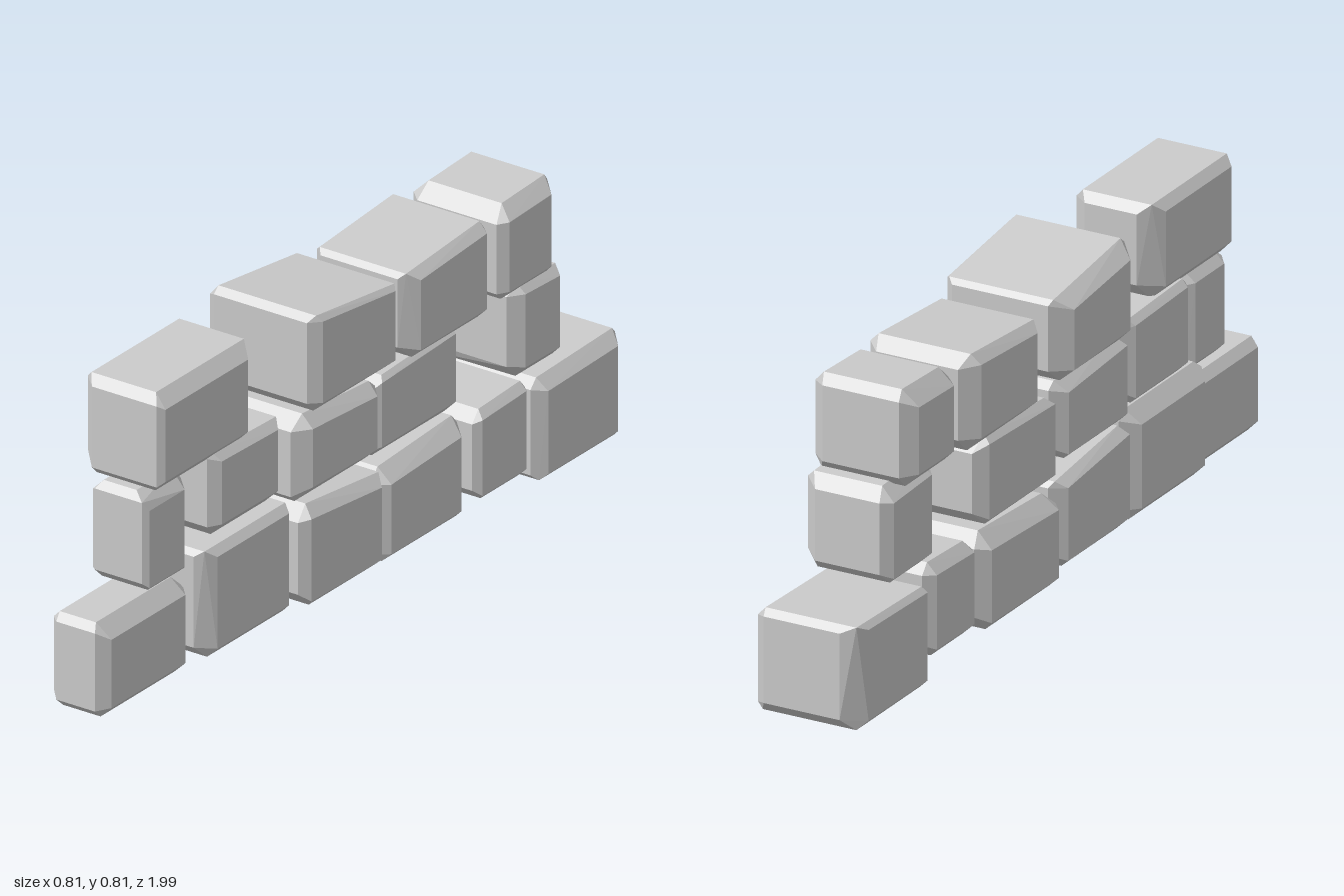
import * as THREE from 'three';
import { ConvexGeometry } from 'three/addons/geometries/ConvexGeometry.js';

// Each stone, in wall space: [start, end, right, left, bottom, top, tilt of the top along the wall]
const COURSES = {
  bottomStone: [
    [-1.03, -0.686, -0.104, 0.051, 0.02, 0.265, 0],
    [-0.68, -0.325, -0.16, 0.101, 0.05, 0.335, 0],
    [-0.32, 0.02, -0.16, 0.13, 0.05, 0.32, -0.04],
    [0.03, 0.389, -0.166, 0.104, 0.028, 0.285, 0.02],
    [0.405, 0.618, -0.15, 0.114, 0.045, 0.29, 0.01],
    [0.66, 0.999, -0.168, 0.114, 0, 0.272, 0.01],
  ],
  middleStone: [
    [-0.863, -0.675, -0.103, 0.053, 0.29, 0.548, 0],
    [-0.624, -0.331, -0.14, 0.085, 0.34, 0.57, -0.01],
    [-0.318, 0, -0.15, 0.122, 0.325, 0.552, -0.025],
    [0.027, 0.373, -0.15, 0.09, 0.297, 0.527, 0.015],
    [0.573, 0.778, -0.125, 0.109, 0.293, 0.545, -0.01],
  ],
  topStone: [
    [-0.851, -0.459, -0.143, 0.09, 0.555, 0.812, 0],
    [-0.283, 0.057, -0.192, 0.134, 0.55, 0.812, -0.045],
    [0.13, 0.465, -0.175, 0.115, 0.52, 0.775, 0.025],
    [0.512, 0.738, -0.165, 0.113, 0.53, 0.782, 0.01],
  ],
};
const GROW = 0.006;

function seeded(seed) {
  let s = seed * 7919 + 17;
  return () => (s = (s * 16807) % 2147483647) / 2147483647;
}

// Box with a different flat bevel on each edge; axes are 0 = across, 1 = up, 2 = along
function stoneGeometry([start, end, right, left, bottom, top, tilt], seed) {
  const rand = seeded(seed);
  for (let i = 0; i < 5; i++) rand();
  const lo = [right - GROW, bottom, -end - GROW];
  const hi = [left + GROW, top, -start + GROW];

  // Bevel width of every edge; the far upright edges are cut deepest
  const bevel = {};
  for (const [a, b] of [[0, 1], [0, 2], [1, 2]])
    for (const s of [0, 1]) for (const t of [0, 1]) {
      let width = 0.012 + 0.03 * rand();
      if (a === 0 && b === 2 && t === 0) width += 0.012;
      if (a === 1 && s === 0 && t === 0) width += 0.012;
      bevel[`${a}${s}${b}${t}`] = width;
    }
  const inset = (a, s, b, t) => (a < b ? bevel[`${a}${s}${b}${t}`] : bevel[`${b}${t}${a}${s}`]);

  // Every face is an inset rectangle; the hull bridges them with bevels
  const points = [];
  for (let k = 0; k < 3; k++) {
    const i = (k + 1) % 3, j = (k + 2) % 3;
    for (const s of [0, 1]) for (const si of [0, 1]) for (const sj of [0, 1]) {
      const p = [0, 0, 0];
      p[k] = s ? hi[k] : lo[k];
      p[i] = si ? hi[i] - inset(k, s, i, 1) : lo[i] + inset(k, s, i, 0);
      p[j] = sj ? hi[j] - inset(k, s, j, 1) : lo[j] + inset(k, s, j, 0);
      // Slope the top along the length of the wall
      const along = (hi[2] - p[2]) / (hi[2] - lo[2]);
      const up = (p[1] - lo[1]) / (hi[1] - lo[1]);
      p[1] += up * (tilt > 0 ? tilt * (along - 1) : tilt * along);
      points.push(new THREE.Vector3(...p));
    }
  }
  return new ConvexGeometry(points);
}

export function createModel() {
  const wall = new THREE.Group();
  wall.name = 'stoneWall';
  const material = new THREE.MeshStandardMaterial({ color: 0xcccccc, flatShading: true });

  let seed = 1;
  for (const [name, stones] of Object.entries(COURSES))
    stones.forEach((stone, i) => {
      const mesh = new THREE.Mesh(stoneGeometry(stone, seed++), material);
      mesh.name = `${name}${i + 1}`;
      wall.add(mesh);
    });

  // The wall runs diagonally
  wall.rotation.y = -0.3016;
  const model = new THREE.Group();
  model.name = 'brokenWall';
  model.add(wall);
  return model;
}
